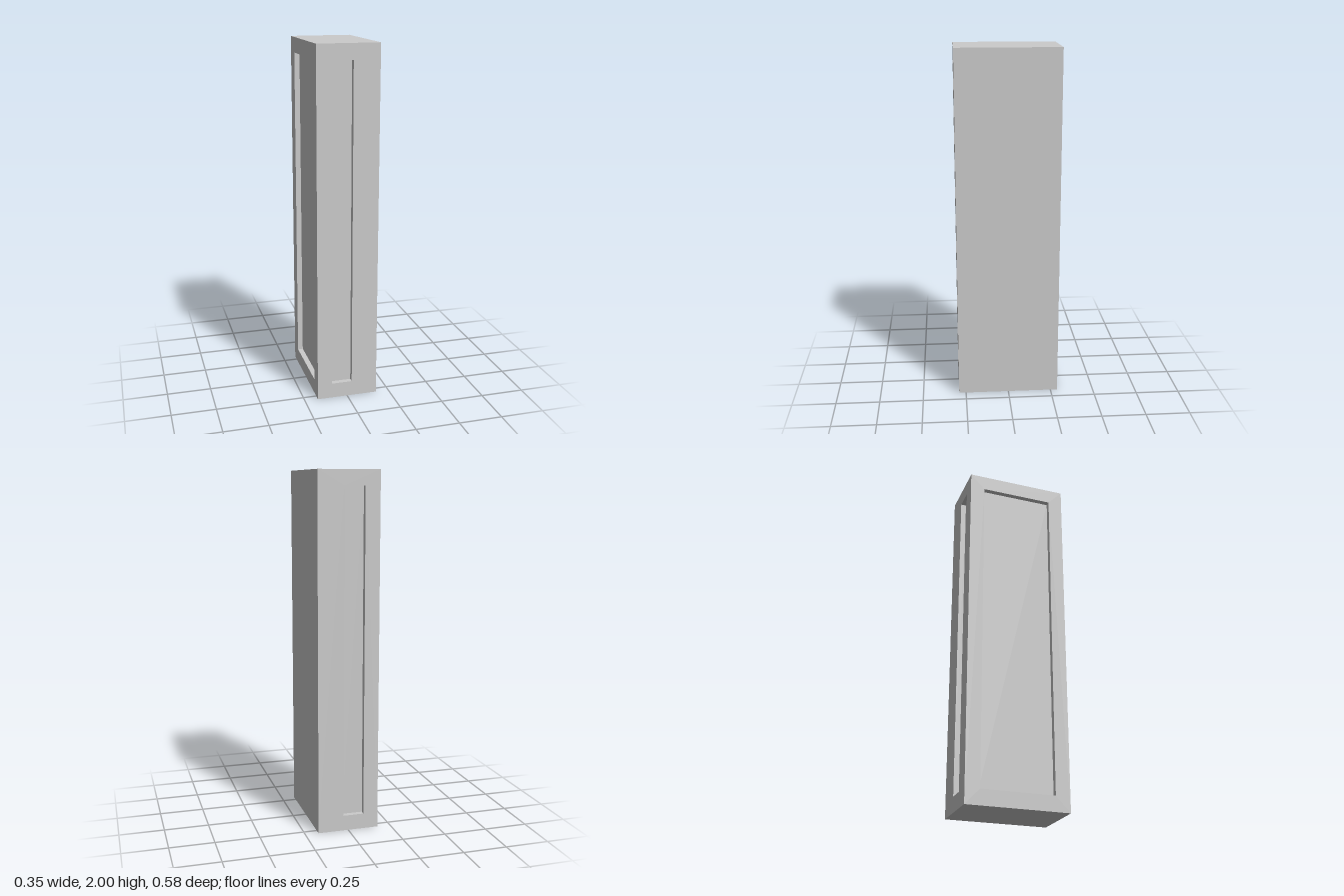
import * as THREE from 'three';
import { mergeGeometries } from 'three/addons/utils/BufferGeometryUtils.js';

const W = 0.348, H = 2, D = 0.58;   // overall size
const RECESS = 0.03;                // depth of the sunken panels
const Y0 = 0.087, Y1 = 1.914;       // bottom and top of the sunken panels

const material = new THREE.MeshStandardMaterial({ color: 0xcccccc });

// Flat face standing on y = 0, facing +z, with a sunken panel from x0 to x1
function recessedFace(width, x0, x1) {
  const shape = new THREE.Shape();
  shape.moveTo(-width / 2, 0).lineTo(width / 2, 0).lineTo(width / 2, H).lineTo(-width / 2, H).closePath();
  const hole = new THREE.Path();
  hole.moveTo(x0, Y0).lineTo(x0, Y1).lineTo(x1, Y1).lineTo(x1, Y0).closePath();
  shape.holes.push(hole);

  const w = x1 - x0, h = Y1 - Y0, cx = (x0 + x1) / 2, cy = (Y0 + Y1) / 2;
  const q = Math.PI / 2;
  return mergeGeometries([
    new THREE.ShapeGeometry(shape),
    new THREE.PlaneGeometry(w, h).translate(cx, cy, -RECESS),                     // sunken floor
    new THREE.PlaneGeometry(w, RECESS).rotateX(-q).translate(cx, Y0, -RECESS / 2), // sill
    new THREE.PlaneGeometry(w, RECESS).rotateX(q).translate(cx, Y1, -RECESS / 2),  // head
    new THREE.PlaneGeometry(RECESS, h).rotateY(q).translate(x0, cy, -RECESS / 2),  // side walls
    new THREE.PlaneGeometry(RECESS, h).rotateY(-q).translate(x1, cy, -RECESS / 2),
  ]);
}

export function createModel() {
  const group = new THREE.Group();
  group.name = 'panelledBlock';
  const add = (name, geometry) => {
    const mesh = new THREE.Mesh(geometry, material);
    mesh.name = name;
    group.add(mesh);
  };

  // Narrow slots, off centre towards the panelled side
  add('frontSlotFace', recessedFace(W, -0.09, 0.027).translate(0, 0, D / 2));
  add('backSlotFace', recessedFace(W, -0.027, 0.09).rotateY(Math.PI).translate(0, 0, -D / 2));

  // Wide panel on the right side
  add('rightPanelFace', recessedFace(D, -0.207, 0.207).rotateY(-Math.PI / 2).translate(-W / 2, 0, 0));

  // Plain faces
  add('leftFace', new THREE.PlaneGeometry(D, H).rotateY(Math.PI / 2).translate(W / 2, H / 2, 0));
  add('topFace', new THREE.PlaneGeometry(W, D).rotateX(-Math.PI / 2).translate(0, H, 0));
  add('bottomFace', new THREE.PlaneGeometry(W, D).rotateX(Math.PI / 2));

  return group;
}
